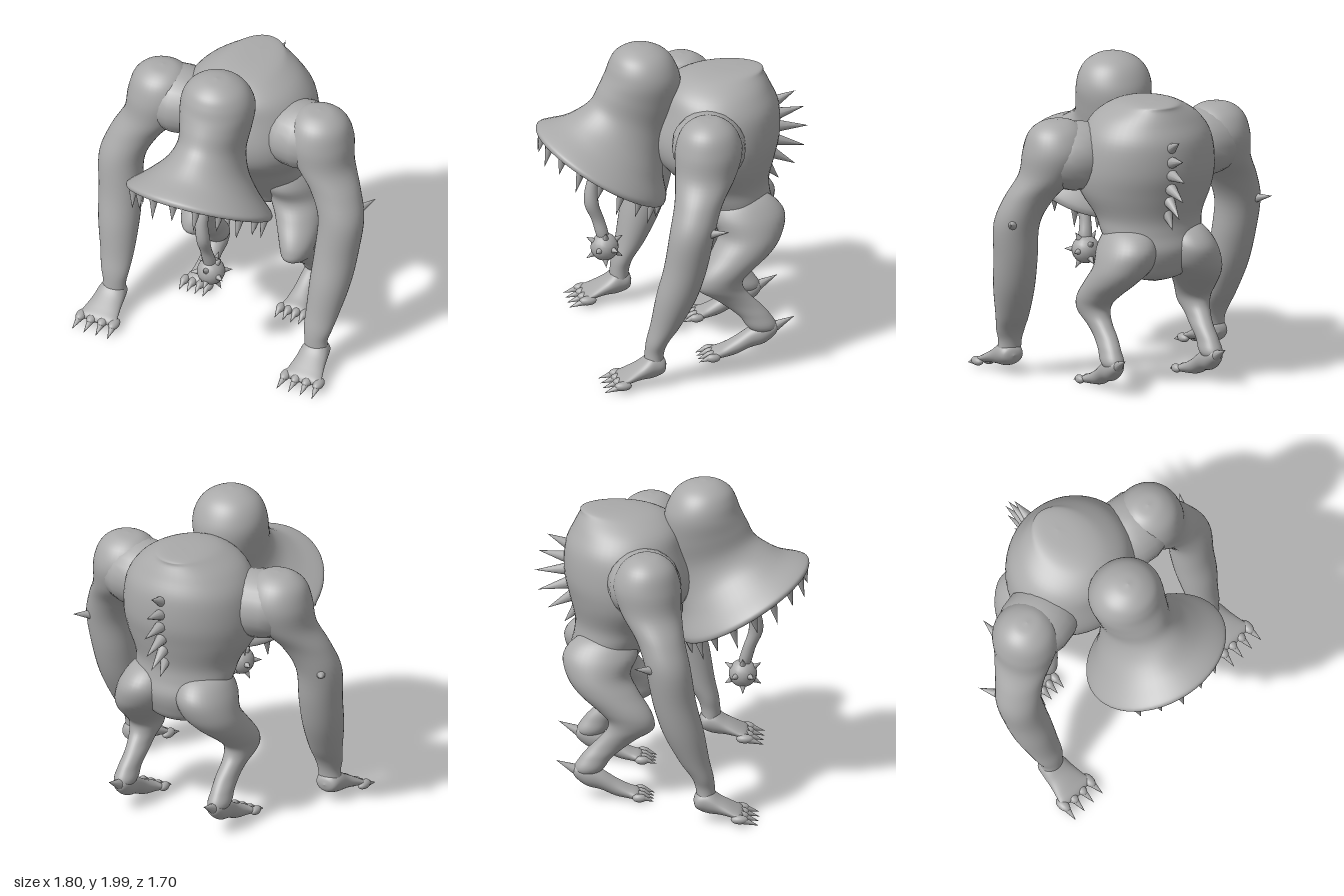
import * as THREE from 'three';

const hide = new THREE.MeshStandardMaterial({ color: 0xaaaaaa });
hide.name = 'grey hide';

// Smooth skin over elliptical rings: [x, y, z, half width, half depth, tilt about x]
function loft(name, rows, steps = 5, sides = 36) {
  const centres = new THREE.CatmullRomCurve3(rows.map(r => new THREE.Vector3(r[0], r[1], r[2])), false, 'catmullrom');
  const sizes = new THREE.CatmullRomCurve3(rows.map(r => new THREE.Vector3(r[3], r[4], r[5] || 0)), false, 'catmullrom');
  const n = (rows.length - 1) * steps, pos = [], idx = [];
  for (let i = 0; i <= n; i++) {
    const c = centres.getPoint(i / n), s = sizes.getPoint(i / n);
    const rx = Math.max(0, s.x), ru = Math.max(0, s.y);
    for (let j = 0; j < sides; j++) {
      const a = j / sides * Math.PI * 2, u = ru * Math.sin(a);
      pos.push(c.x + rx * Math.cos(a), c.y + u * Math.sin(s.z), c.z + u * Math.cos(s.z));
      if (i < n) {
        const k = (j + 1) % sides, p = i * sides, q = p + sides;
        idx.push(p + j, p + k, q + j, p + k, q + k, q + j);
      }
    }
  }
  const g = new THREE.BufferGeometry();
  g.setAttribute('position', new THREE.Float32BufferAttribute(pos, 3));
  g.setIndex(idx);
  g.computeVertexNormals();
  return mesh(name, g);
}

function mesh(name, geometry) {
  const m = new THREE.Mesh(geometry, hide);
  m.name = name;
  return m;
}

// Cone from a base point to a tip
function spike(name, base, tip, r) {
  const a = new THREE.Vector3(...base), b = new THREE.Vector3(...tip);
  const d = b.clone().sub(a);
  const m = mesh(name, new THREE.ConeGeometry(r, d.length(), 10));
  m.position.copy(a).addScaledVector(d, 0.5);
  m.quaternion.setFromUnitVectors(new THREE.Vector3(0, 1, 0), d.normalize());
  return m;
}

function ellipsoid(name, p, r) {
  const m = mesh(name, new THREE.SphereGeometry(1, 16, 12));
  m.position.set(...p);
  m.scale.set(...r);
  return m;
}

function createHead() {
  const head = new THREE.Group();
  head.name = 'head';
  // Bell: outside down to the rim, then back up the inside
  head.add(loft('bellHead', [
    [0, 2.0, .21, 0, 0, 0], [0, 1.985, .205, .09, .09, 0], [0, 1.94, .2, .17, .165, 0],
    [0, 1.87, .19, .218, .21, .05], [0, 1.78, .19, .235, .238, .1], [0, 1.66, .22, .22, .255, .25],
    [0, 1.53, .27, .205, .265, .4], [0, 1.42, .325, .245, .31, .5], [0, 1.33, .38, .335, .365, .53],
    [0, 1.255, .43, .435, .445, .535], [0, 1.225, .45, .465, .465, .535], [0, 1.2, .455, .455, .455, .535],
    [0, 1.225, .445, .42, .42, .535], [0, 1.3, .39, .31, .34, .53], [0, 1.42, .325, .21, .27, .5],
    [0, 1.53, .27, .17, .2, .4], [0, 1.7, .21, 0, 0, .2]], 5, 48));

  // Teeth round the rim
  const count = 18, t = .535;
  for (let i = 0; i < count; i++) {
    const a = (i + .5) / count * Math.PI * 2, u = .425 * Math.sin(a);
    const b = [.425 * Math.cos(a), 1.215 + u * Math.sin(t), .45 + u * Math.cos(t)];
    const len = i % 2 ? .15 : .12;
    head.add(spike('tooth', b, [b[0] * .97, b[1] - len * .97, b[2] + len * .22], .03));
  }

  // Tongue with a spiked ball
  head.add(loft('tongue', [
    [.03, 1.55, .3, .03, .03], [.035, 1.4, .34, .04, .04], [.04, 1.22, .45, .045, .05],
    [.045, 1.1, .51, .04, .042], [.06, .98, .52, .043, .045], [.06, .87, .48, .036, .04],
    [.07, .78, .455, .042, .04], [.075, .7, .44, .03, .03]], 5, 16));
  const c = new THREE.Vector3(.075, .69, .44);
  head.add(ellipsoid('tongueBall', c.toArray(), [.088, .088, .088]));
  const ico = new THREE.IcosahedronGeometry(1, 0).getAttribute('position');
  const seen = new Set();
  for (let i = 0; i < ico.count; i++) {
    const d = new THREE.Vector3().fromBufferAttribute(ico, i);
    const key = d.toArray().map(v => Math.round(v * 10) + 0).join();
    if (seen.has(key)) continue;
    seen.add(key);
    head.add(spike('ballSpike', c.clone().addScaledVector(d, .075).toArray(),
      c.clone().addScaledVector(d, .135).toArray(), .022));
  }
  return head;
}

function createArm(s) {
  const arm = new THREE.Group();
  arm.name = s > 0 ? 'leftArm' : 'rightArm';
  const side = rows => rows.map(([x, ...rest]) => [s * x, ...rest]);
  arm.add(loft('arm', side([
    [.54, 1.7, -.14, 0, 0], [.54, 1.685, -.14, .1, .09], [.545, 1.62, -.14, .175, .17],
    [.55, 1.5, -.14, .208, .21], [.59, 1.35, -.115, .185, .19], [.69, 1.2, -.055, .16, .15],
    [.755, 1.03, -.005, .145, .14], [.745, .8, .035, .138, .135], [.73, .6, .09, .13, .128],
    [.71, .41, .155, .108, .095], [.7, .3, .205, .092, .07], [.695, .22, .225, .075, .06],
    [.7, .12, .23, .08, .06]])));
  // Shoulder joining the arm to the torso
  arm.add(ellipsoid('shoulder', [s * .42, 1.46, -.16], [.29, .215, .23]));
  arm.add(spike('elbowSpike', [s * .82, 1.04, -.09], [s * .895, 1.075, -.215], .035));
  // Hand with four clawed fingers
  const v = Math.PI / 2;
  arm.add(loft('hand', side([
    [.7, .14, .15, 0, 0, v], [.7, .14, .17, .065, .05, v], [.7, .14, .24, .088, .08, v],
    [.702, .11, .32, .1, .055, v], [.705, .08, .4, .117, .036, v], [.705, .06, .45, .122, .024, v],
    [.705, .055, .47, 0, 0, v]])));
  for (let i = 0; i < 4; i++) {
    const x = s * (.705 + (i - 1.5) * .075);
    arm.add(ellipsoid('finger', [x, .055, .44], [.033, .028, .055]));
    arm.add(spike('fingerClaw', [x, .05, .465], [x + s * (i - 1.5) * .006, .02, .56], .024));
  }
  return arm;
}

function createLeg(s) {
  const leg = new THREE.Group();
  leg.name = s > 0 ? 'leftLeg' : 'rightLeg';
  const side = rows => rows.map(([x, ...rest]) => [s * x, ...rest]);
  leg.add(loft('leg', side([
    [.18, 1.06, -.4, 0, 0], [.18, 1.02, -.41, .12, .16], [.2, .92, -.435, .175, .232],
    [.235, .8, -.45, .182, .2], [.285, .7, -.39, .155, .19], [.325, .6, -.295, .125, .165],
    [.34, .53, -.245, .105, .145], [.34, .47, -.25, .09, .143], [.335, .41, -.32, .072, .12],
    [.33, .35, -.39, .066, .11], [.335, .28, -.462, .065, .098], [.337, .2, -.51, .066, .088],
    [.337, .13, -.52, 0, 0]])));
  // Foot with four clawed toes
  const v = Math.PI / 2;
  leg.add(loft('foot', side([
    [.337, .19, -.605, 0, 0, v], [.337, .19, -.59, .04, .04, v], [.337, .165, -.52, .062, .07, v],
    [.335, .135, -.43, .062, .065, v], [.33, .085, -.34, .065, .055, v], [.328, .055, -.26, .075, .04, v],
    [.328, .04, -.2, .085, .028, v], [.328, .035, -.175, 0, 0, v]])));
  for (let i = 0; i < 4; i++) {
    const x = s * (.33 + (i - 1.5) * .054);
    leg.add(ellipsoid('toe', [x, .038, -.19], [.027, .027, .045]));
    leg.add(spike('toeClaw', [x, .038, -.16], [x, .015, -.1], .018));
  }
  leg.add(spike('heelSpike', [s * .337, .195, -.58], [s * .342, .26, -.71], .036));
  return leg;
}

export function createModel() {
  const model = new THREE.Group();
  model.name = 'monster';
  model.add(loft('torso', [
    [0, 1.82, -.4, 0, 0], [0, 1.812, -.37, .13, .18], [0, 1.78, -.31, .22, .26], [0, 1.7, -.28, .335, .33],
    [0, 1.58, -.285, .41, .375], [0, 1.4, -.265, .44, .402], [0, 1.25, -.265, .42, .37],
    [0, 1.1, -.315, .345, .285], [0, 1.0, -.355, .325, .25], [0, .9, -.4, .3, .225],
    [0, .8, -.42, .24, .18], [0, .72, -.42, .17, .13], [0, .67, -.41, 0, 0]], 5, 48));
  model.add(createHead());
  for (const s of [1, -1]) model.add(createArm(s), createLeg(s));
  // Spine spikes: base y, z and tip y, z
  const spine = [[1.56, -.63, 1.63, -.77], [1.48, -.65, 1.52, -.825], [1.4, -.65, 1.39, -.85],
    [1.31, -.64, 1.26, -.83], [1.23, -.61, 1.14, -.77], [1.15, -.58, 1.05, -.665]];
  for (const [y, z, ty, tz] of spine) model.add(spike('spineSpike', [0, y, z], [0, ty, tz], .04));
  return model;
}
